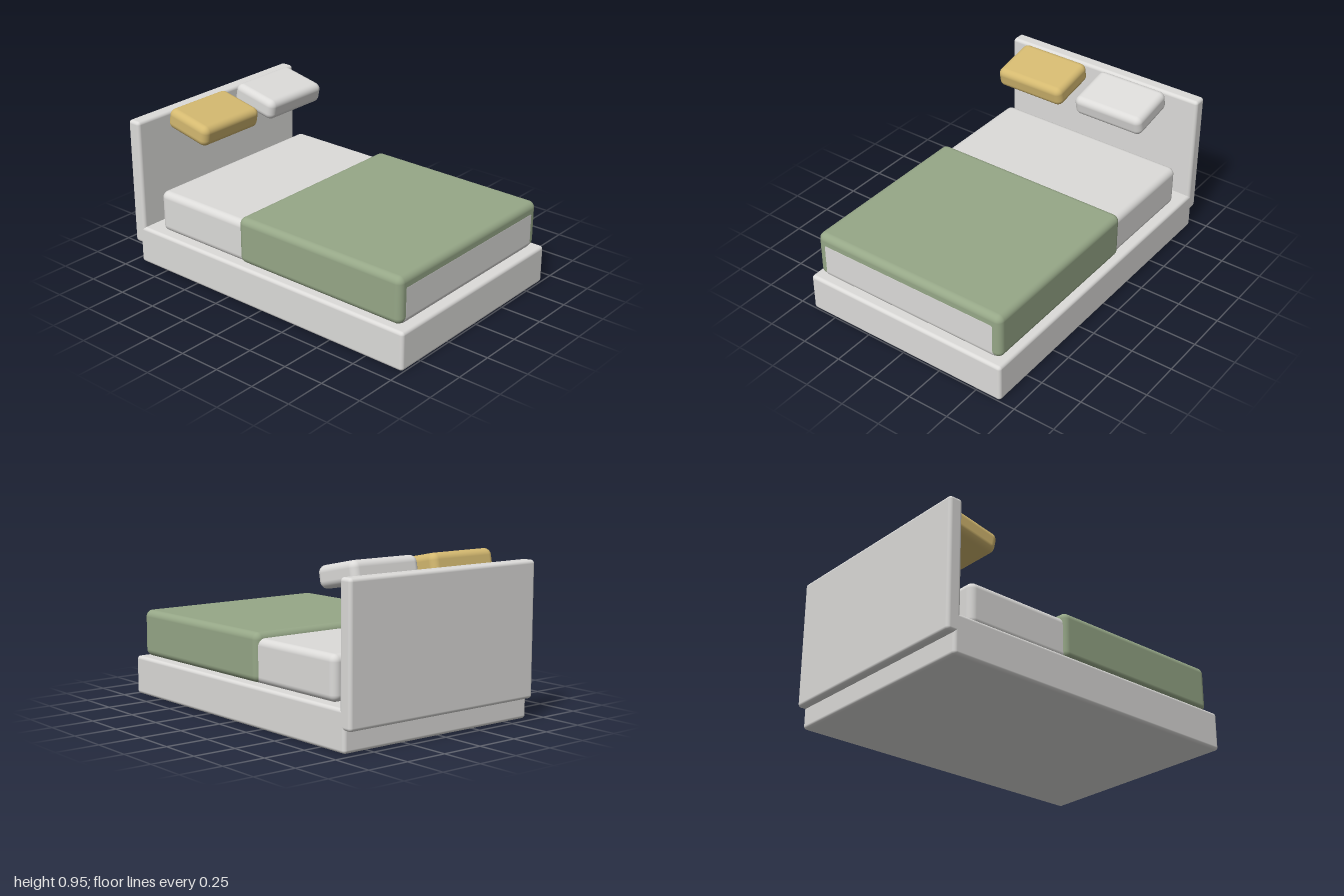
import * as THREE from 'three';
import { RoundedBoxGeometry } from 'three/addons/geometries/RoundedBoxGeometry.js';

function material(name, color) {
  const m = new THREE.MeshStandardMaterial({ color });
  m.name = name;
  return m;
}

export function createModel() {
  const bed = new THREE.Group();
  bed.name = 'bed';

  const white = material('white', 0xdcdbd9);
  const green = material('sageGreen', 0x96a787);
  const gold = material('gold', 0xd4b970);

  // Soft-edged box from its centre x, width, and y and z ranges
  function softBox(name, mat, x, width, [y0, y1], [z0, z1], radius) {
    const geometry = new RoundedBoxGeometry(width, y1 - y0, z1 - z0, 5, radius);
    const mesh = new THREE.Mesh(geometry, mat);
    mesh.name = name;
    mesh.position.set(x, (y0 + y1) / 2, (z0 + z1) / 2);
    bed.add(mesh);
    return mesh;
  }

  // Frame
  softBox('base', white, 0, 1.316, [0, 0.23], [-0.955, 1], 0.02);
  softBox('headboard', white, 0, 1.316, [0.12, 0.89], [-1, -0.915], 0.02);

  // Bedding: the mattress end sits just proud of the blanket at the foot
  softBox('mattress', white, 0, 1.22, [0.23, 0.48], [-0.815, 0.9555], 0.04);
  softBox('blanket', green, 0, 1.255, [0.235, 0.512], [-0.18, 0.955], 0.04);

  // Pillows, tilted down towards the foot
  for (const [name, side, mat] of [['rightPillow', -1, gold], ['leftPillow', 1, white]]) {
    const pillow = softBox(name, mat, side * 0.275, 0.452, [0.804, 0.928], [-0.845, -0.538], 0.04);
    pillow.rotation.x = 0.2;
  }

  return bed;
}
